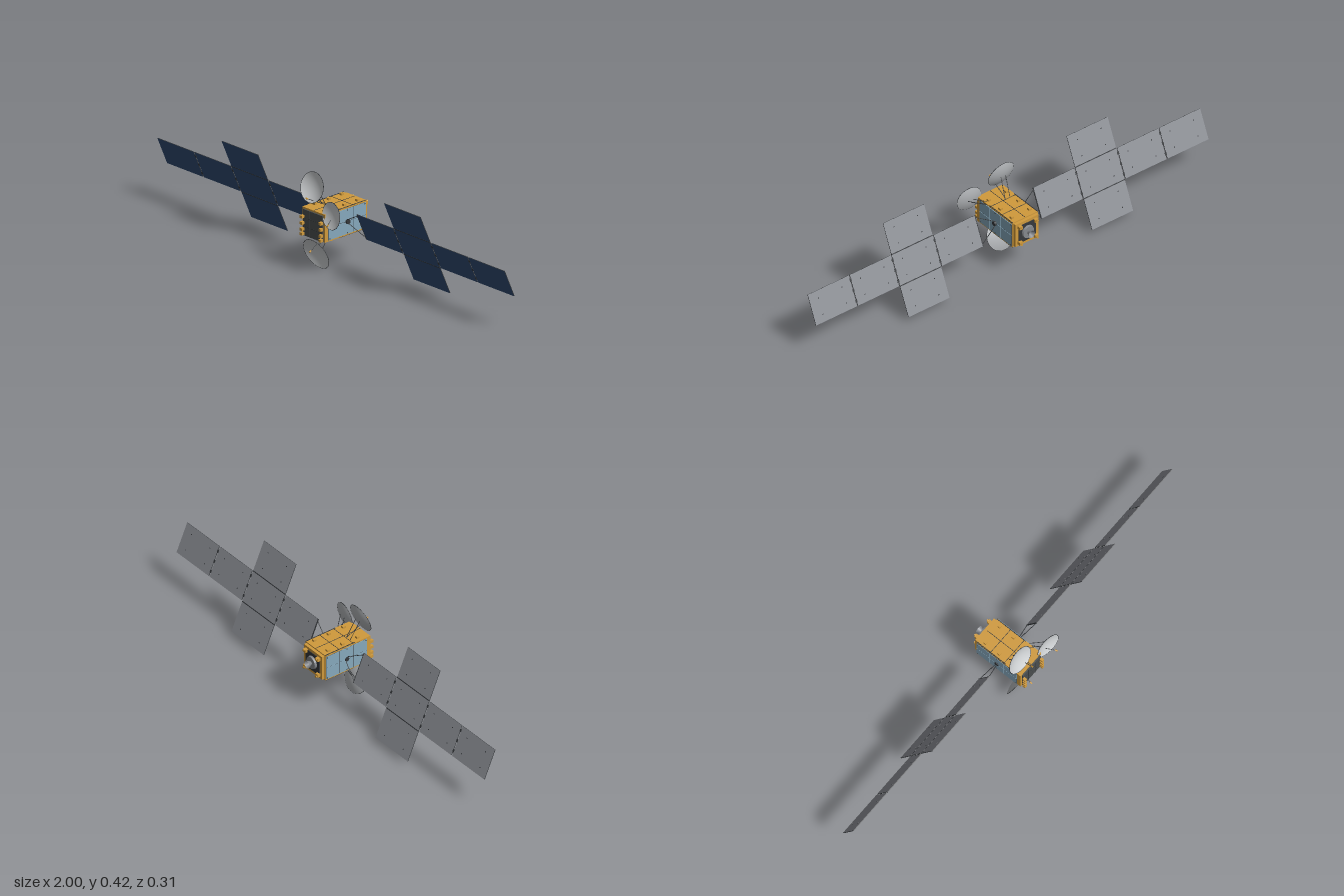
import * as THREE from 'three';

const mat = (name, color, side = THREE.FrontSide) => {
  const m = new THREE.MeshStandardMaterial({ color, side });
  m.name = name;
  return m;
};
const V = (x, y, z) => new THREE.Vector3(x, y, z);

export function createModel() {
  const root = new THREE.Group();
  root.name = 'satellite';

  const gold = mat('goldFoil', 0xd09a3c);
  const radiatorBlue = mat('radiatorBlue', 0x86a8bc);
  const cellBlue = mat('solarCellBlue', 0x2f4b72);
  const backGrey = mat('panelBackGrey', 0x8a8d93);
  const dark = mat('darkGrey', 0x35383b);
  const plateGrey = mat('frontPlateGrey', 0x4b4f50);
  const dishLight = mat('dishLightGrey', 0xcdd0d2, THREE.DoubleSide);
  const dishBack = mat('dishBackGrey', 0xb2b5b8, THREE.DoubleSide);
  const metal = mat('nozzleMetal', 0x85888d, THREE.DoubleSide);

  const CX = -0.004, CY = 0.213; // bus axis

  const add = (parent, name, geo, material, x = 0, y = 0, z = 0) => {
    const m = new THREE.Mesh(geo, material);
    m.name = name;
    m.position.set(x, y, z);
    parent.add(m);
    return m;
  };
  const box = (parent, name, material, w, h, d, x, y, z) =>
    add(parent, name, new THREE.BoxGeometry(w, h, d), material, x, y, z);
  const UP = V(0, 1, 0);
  const rod = (parent, name, material, a, b, r) => {
    const mid = a.clone().add(b).multiplyScalar(0.5);
    const m = add(parent, name, new THREE.CylinderGeometry(r, r, a.distanceTo(b), 6), material, mid.x, mid.y, mid.z);
    m.quaternion.setFromUnitVectors(UP, b.clone().sub(a).normalize());
    return m;
  };

  // ---- Bus: local origin on its axis
  const bus = new THREE.Group();
  bus.name = 'bus';
  bus.position.set(CX, CY, 0);
  root.add(bus);
  box(bus, 'busBody', gold, 0.13, 0.12, 0.227, 0, 0, -0.0005);
  box(bus, 'rearModule', gold, 0.118, 0.11, 0.014, 0, 0, -0.12);
  box(bus, 'frontPlate', plateGrey, 0.112, 0.112, 0.006, 0, -0.003, 0.116);

  // Side radiators, three columns by two rows over a dark backing
  const columns = [[0.095, 0.028], [0.026, -0.043], [-0.045, -0.112]];
  for (const s of [-1, 1]) {
    box(bus, 'radiatorBacking', dark, 0.002, 0.108, 0.207, s * 0.0655, 0, -0.0085);
    for (const [z0, z1] of columns)
      for (const r of [-1, 1])
        box(bus, 'radiator', radiatorBlue, 0.003, 0.053, z0 - z1, s * 0.0665, r * 0.0275, (z0 + z1) / 2);
    for (const z of [0.088, -0.008, -0.106])
      for (const r of [-1, 1])
        box(bus, 'radiatorBolt', dark, 0.001, 0.004, 0.004, s * 0.0685, r * 0.049, z);
  }

  // Seams, trays and equipment boxes above and below
  for (const s of [-1, 1]) {
    for (const z of [0.027, -0.044])
      box(bus, 'deckSeam', dark, 0.13, 0.001, 0.002, 0, s * 0.0604, z);
    box(bus, 'deckSeam', dark, 0.002, 0.001, 0.225, 0, s * 0.0604, 0);
    for (const x of [-0.063, 0.063])
      box(bus, 'deckRail', dark, 0.003, 0.0015, 0.15, x, s * 0.0608, -0.04);
    for (const z of [0.063, -0.013, -0.086])
      for (const x of [-0.045, 0.045])
        box(bus, 'deckBox', gold, 0.013, 0.009, 0.013, x, s * 0.0645, z);
  }

  // Equipment blocks and seams on the front plate
  for (const x of [-0.054, 0.054])
    for (const y of [0.023, -0.004, -0.031, -0.05])
      box(bus, 'frontBlock', gold, 0.012, 0.012, 0.014, x, y, 0.126);
  for (const x of [-0.02, 0.02])
    box(bus, 'frontSeam', dark, 0.0015, 0.112, 0.001, x, -0.003, 0.1194);
  for (const y of [-0.02, 0.018])
    box(bus, 'frontSeam', dark, 0.112, 0.0015, 0.001, 0, y, 0.1194);

  // Rear plate, corner thrusters and main engine
  box(bus, 'rearPlate', dark, 0.088, 0.084, 0.004, 0, 0, -0.128);
  for (const x of [-1, 1])
    for (const y of [-1, 1]) {
      box(bus, 'thrusterBlock', gold, 0.016, 0.014, 0.014, x * 0.04, y * 0.038, -0.134);
      const t = add(bus, 'thruster', new THREE.CylinderGeometry(0.003, 0.005, 0.008, 10), gold, x * 0.04, y * 0.042, -0.142);
      t.rotation.x = Math.PI / 2;
    }
  const ring = add(bus, 'adapterRing', new THREE.CylinderGeometry(0.027, 0.03, 0.012, 28), metal, 0, 0, -0.133);
  ring.rotation.x = Math.PI / 2;
  ring.scale.y = -1;
  ring.material = metal;
  const bell = [[0.007, 0], [0.009, 0.007], [0.014, 0.015], [0.017, 0.022]].map(p => new THREE.Vector2(...p));
  add(bus, 'engineBell', new THREE.LatheGeometry(bell, 24), metal, 0, 0, -0.136).rotation.x = -Math.PI / 2;

  // ---- Solar wings, leaning forward at the top
  const wings = new THREE.Group();
  wings.name = 'solarWings';
  wings.position.set(-0.001, CY, -0.008);
  wings.rotation.x = 0.417;
  root.add(wings);
  const PW = 0.2085, PH = 0.1335, T = 0.003;
  const faces = [dark, dark, dark, dark, cellBlue, backGrey];
  const panel = (x, y) => {
    box(wings, 'solarPanel', faces, PW, PH, T, x, y, 0);
    // Fixings on the back
    for (const i of [-1, 1])
      for (const j of [-1, 1])
        box(wings, 'panelFixing', dark, 0.004, 0.004, 0.001, x + i * 0.06, y + j * 0.035, -T / 2 - 0.0004);
  };
  for (const s of [-1, 1]) {
    const px = i => s * (0.254 + i * 0.2138);
    for (let i = 0; i < 4; i++) {
      panel(px(i), 0);
      // Hinge bars between neighbours along the wing
      if (i < 3)
        for (const y of [-0.045, 0, 0.045])
          box(wings, 'panelHinge', dark, 0.009, 0.012, 0.004, (px(i) + px(i + 1)) / 2, y, 0);
    }
    for (const r of [-1, 1]) {
      panel(px(1), r * 0.1365);
      box(wings, 'foldHinge', dark, PW, 0.004, 0.004, px(1), r * 0.0683, 0);
      // Yoke arms from the drive to the inner panel corners
      rod(wings, 'yokeArm', dark, V(s * 0.066, r * 0.008, 0), V(s * 0.151, r * 0.06, 0), 0.0015);
    }
    box(wings, 'yokeBar', dark, 0.003, PH, 0.004, s * 0.149, 0, 0);
    const drive = add(wings, 'wingDrive', new THREE.CylinderGeometry(0.01, 0.01, 0.012, 14), dark, s * 0.068, 0, 0);
    drive.rotation.z = Math.PI / 2;
  }

  // ---- Reflector dishes with rim, feed and struts
  const dish = (name, centre, normal, R, depth, feed, feedFoot, foot) => {
    const g = new THREE.Group();
    g.name = name;
    root.add(g);
    const n = normal.clone().normalize();
    const shell = new THREE.Group();
    shell.position.copy(centre);
    shell.quaternion.setFromUnitVectors(UP, n);
    g.add(shell);
    const profile = off => Array.from({ length: 9 }, (_, i) =>
      new THREE.Vector2(R * i / 8, depth * ((i / 8) ** 2 - 1) - off));
    add(shell, 'reflector', new THREE.LatheGeometry(profile(0), 36), dishLight);
    add(shell, 'reflectorBack', new THREE.LatheGeometry(profile(0.002), 36), dishBack);
    add(shell, 'rim', new THREE.TorusGeometry(R, 0.0012, 6, 36), dark, 0, -0.001, 0).rotation.x = Math.PI / 2;

    const back = centre.clone().addScaledVector(n, -depth - 0.002);
    for (const s of [-1, 1]) {
      const dx = V(s * 0.012, 0, 0);
      rod(g, 'dishStrut', dark, back.clone().add(dx), foot.clone().add(dx), 0.0014);
    }
    rod(g, 'feedStrut', dark, feed, feedFoot, 0.0014);
    // Feed horn lies along the end of its strut
    const d = feed.clone().sub(feedFoot).normalize();
    rod(g, 'feedHorn', gold, feed.clone().addScaledVector(d, -0.003), feed.clone().addScaledVector(d, 0.008), 0.0033);
  };
  dish('topDish', V(-0.04, 0.356, 0.088), V(0, 0.28, 0.96), 0.063, 0.015,
    V(-0.022, 0.324, 0.131), V(-0.02, 0.272, 0.032), V(-0.03, 0.272, 0.032));
  dish('sideDish', V(0.1, 0.28, 0.117), V(-0.11, 0.13, 0.98), 0.056, 0.011,
    V(0.112, 0.251, 0.146), V(0.055, 0.27, 0.05), V(0.05, 0.27, 0.05));
  dish('bottomDish', V(-0.03, 0.068, 0.075), V(0, -0.336, 0.94), 0.0695, 0.016,
    V(-0.014, 0.098, 0.12), V(-0.018, 0.154, 0.015), V(-0.024, 0.154, 0.015));

  return root;
}
